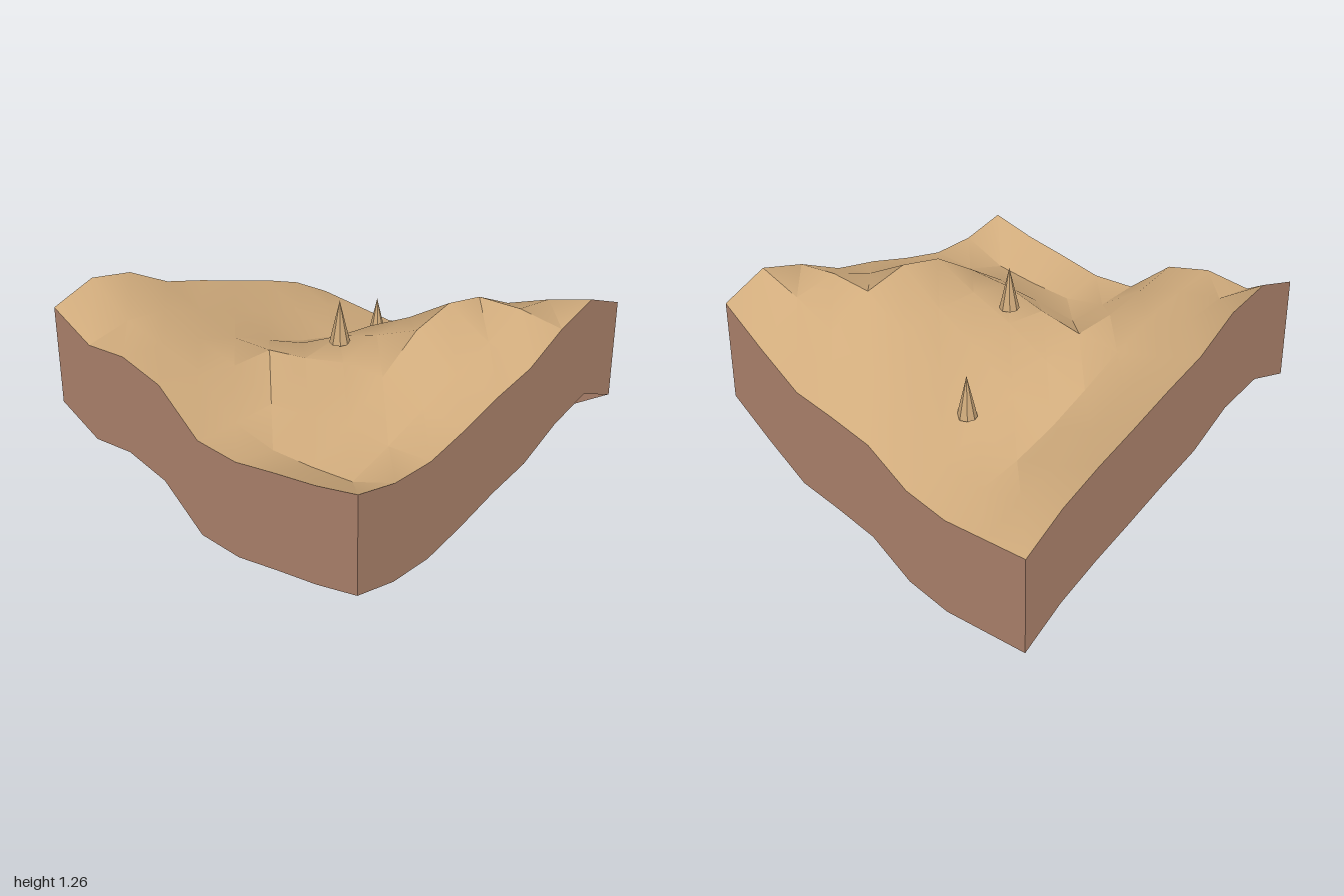
import * as THREE from 'three';
import { toCreasedNormals } from 'three/addons/utils/BufferGeometryUtils.js';

// Ground heights on a 9 x 9 grid: rows run from back to front, columns from -x to +x
const HEIGHTS = [
  [1.185, 1.26, 1.205, 1.065, 0.985, 0.895, 0.81, 0.71, 0.565],
  [1.06, 1.10, 1.07, 0.97, 0.88, 0.78, 0.70, 0.64, 0.55],
  [1.083, 1.05, 0.99, 0.90, 0.79, 0.69, 0.62, 0.58, 0.535],
  [1.02, 0.97, 0.925, 0.915, 0.86, 0.77, 0.68, 0.63, 0.585],
  [0.815, 0.80, 0.80, 0.957, 0.985, 0.95, 0.86, 0.82, 0.73],
  [0.80, 0.75, 0.83, 1.02, 1.075, 1.08, 1.04, 0.92, 0.78],
  [0.845, 0.76, 0.87, 1.03, 1.185, 1.24, 1.185, 1.06, 0.82],
  [0.885, 0.785, 0.86, 0.95, 1.03, 1.11, 1.20, 1.16, 0.97],
  [0.945, 0.885, 0.88, 0.935, 1.005, 1.055, 1.17, 1.24, 1.135],
];
const N = 8;
const SKIRT_DEPTH = 0.535;

const sand = new THREE.MeshStandardMaterial({ color: 0xd0ab7c, side: THREE.DoubleSide });
sand.name = 'sand';
const rock = new THREE.MeshStandardMaterial({ color: 0xaf846d, side: THREE.DoubleSide, flatShading: true });
rock.name = 'clay';
const spikeSand = new THREE.MeshStandardMaterial({ color: 0xd0ab7c, flatShading: true });
spikeSand.name = 'spike sand';

function add(group, name, geometry, material) {
  const mesh = new THREE.Mesh(geometry, material);
  mesh.name = name;
  group.add(mesh);
  return mesh;
}

// Rolling ground surface
function groundGeometry() {
  const g = new THREE.PlaneGeometry(2, 2, N, N).rotateX(-Math.PI / 2);
  const p = g.attributes.position;
  for (let i = 0; i < p.count; i++) p.setY(i, HEIGHTS[Math.floor(i / (N + 1))][i % (N + 1)]);
  return toCreasedNormals(g, 0.5);
}

// Cut wall hanging below one edge, following its profile
function wallGeometry(cellAt) {
  const positions = [];
  const index = [];
  for (let k = 0; k <= N; k++) {
    const [row, col] = cellAt(k);
    const x = -1 + col * 2 / N, z = -1 + row * 2 / N, y = HEIGHTS[row][col];
    positions.push(x, y, z, x, y - SKIRT_DEPTH, z);
    if (k < N) {
      const a = 2 * k;
      index.push(a, a + 1, a + 3, a, a + 3, a + 2);
    }
  }
  const g = new THREE.BufferGeometry();
  g.setAttribute('position', new THREE.Float32BufferAttribute(positions, 3));
  g.setIndex(index);
  g.computeVertexNormals();
  return g;
}

export function createModel() {
  const model = new THREE.Group();
  model.name = 'terrainTile';

  add(model, 'ground', groundGeometry(), sand);

  // Four side walls, open underneath
  const edges = {
    frontWall: k => [N, k],
    rightWall: k => [N - k, N],
    backWall: k => [0, N - k],
    leftWall: k => [k, 0],
  };
  for (const [name, cellAt] of Object.entries(edges)) add(model, name, wallGeometry(cellAt), rock);

  // Small pointed spikes standing on the ground
  const height = 0.228;
  const cone = new THREE.ConeGeometry(0.052, height, 8);
  for (const [x, y, z] of [[-0.085, 1.012, 0.08], [0.5, 0.732, -0.172]]) {
    add(model, 'spike', cone, spikeSand).position.set(x, y + height / 2, z);
  }
  return model;
}
